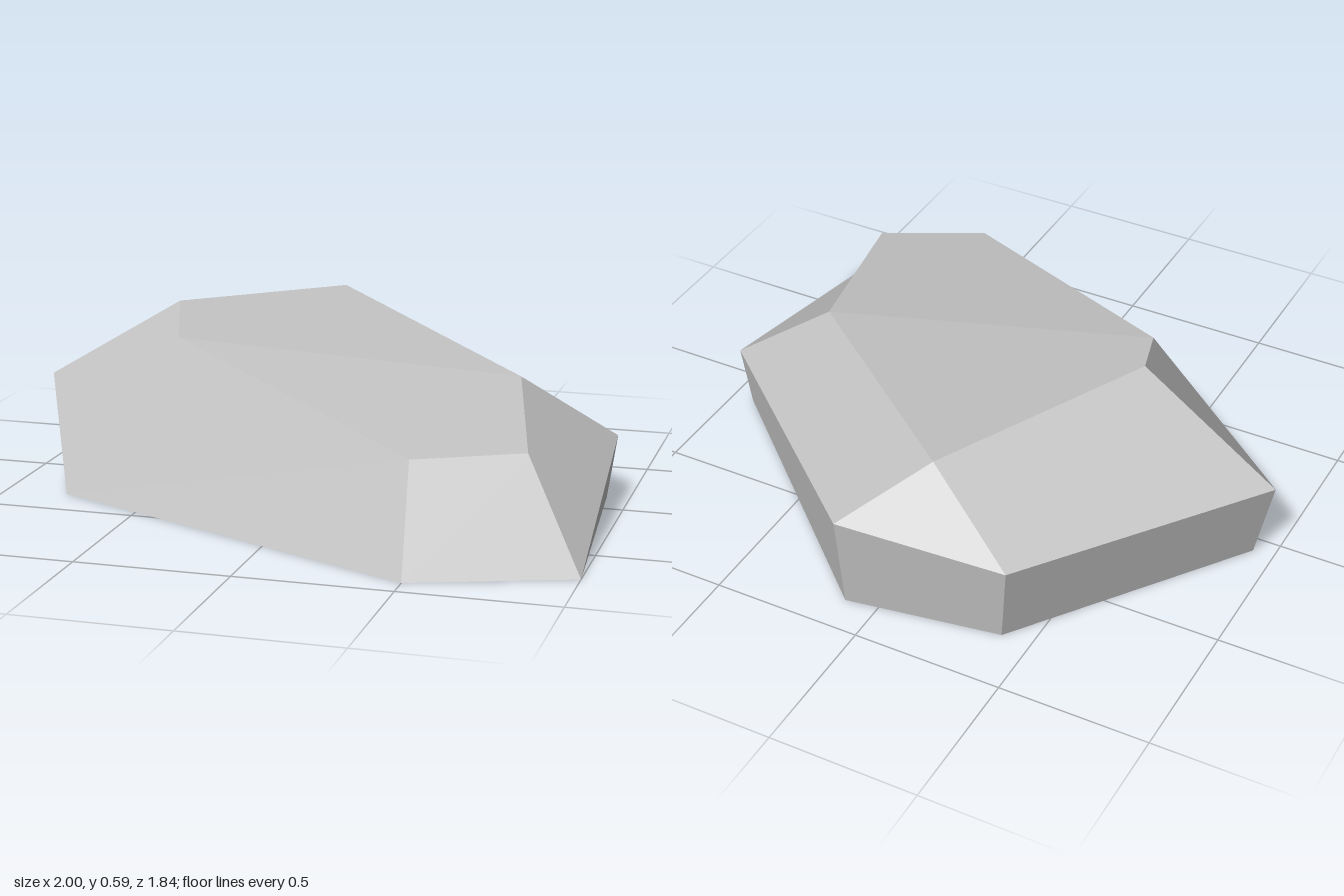
import * as THREE from 'three';

export function createModel() {
  const group = new THREE.Group();
  group.name = 'rock';

  const stone = new THREE.MeshStandardMaterial({ color: 0xc4c4c4 });
  stone.name = 'stone grey';

  // Corners of the stone
  const p = {
    // crown
    peak: [-0.52, 0.59, -0.05], brow: [-0.44, 0.52, 0.19], crest: [-0.13, 0.535, -0.72],
    shoulder: [0.65, 0.41, -0.04], lipL: [0.8, 0.325, 0.57], lipR: [0.475, 0.325, 0.74],
    // waist
    waistL: [0.955, 0.21, -0.14], waistBack: [0.11, 0.345, -0.92],
    waistBackR: [-0.44, 0.3, -0.84], waistR: [-1, 0.3, -0.09],
    // foot
    footFrontR: [-0.79, 0, 0.33], footFront: [0.5, 0, 0.92], footFrontL: [1, 0, 0.74],
    footL: [0.925, 0, -0.13], footBack: [0.11, 0, -0.875],
    footBackR: [-0.4, 0, -0.79], footR: [-0.93, 0, -0.06],
  };

  // Facets, each a loop of corners counter-clockwise from outside
  const facets = [
    // top
    'peak brow shoulder crest', 'brow lipR lipL shoulder',
    'crest shoulder waistL waistBack', 'crest waistBack waistBackR',
    'crest waistBackR waistR peak',
    // front and left slopes
    'waistR footFrontR brow peak', 'footFrontR footFront lipR brow',
    'footFront footFrontL lipL lipR', 'shoulder lipL footFrontL waistL',
    // lower sides
    'footFrontL footL waistL', 'footL footBack waistBack waistL',
    'footBack footBackR waistBackR waistBack', 'footBackR footR waistR waistBackR',
    'footR footFrontR waistR',
    // underside
    'footR footBackR footBack footL footFrontL footFront footFrontR',
  ];

  // Fan every facet into triangles that share the facet's average normal
  const positions = [];
  const normals = [];
  for (const facet of facets) {
    const loop = facet.split(' ').map((name) => new THREE.Vector3(...p[name]));
    const normal = new THREE.Vector3();
    for (let i = 1; i < loop.length - 1; i++) {
      const a = loop[i].clone().sub(loop[0]);
      normal.add(a.cross(loop[i + 1].clone().sub(loop[0])));
    }
    normal.normalize();
    for (let i = 1; i < loop.length - 1; i++) {
      for (const corner of [loop[0], loop[i], loop[i + 1]]) {
        positions.push(...corner.toArray());
        normals.push(...normal.toArray());
      }
    }
  }
  const geometry = new THREE.BufferGeometry();
  geometry.setAttribute('position', new THREE.Float32BufferAttribute(positions, 3));
  geometry.setAttribute('normal', new THREE.Float32BufferAttribute(normals, 3));

  const mesh = new THREE.Mesh(geometry, stone);
  mesh.name = 'boulder';
  group.add(mesh);
  return group;
}
